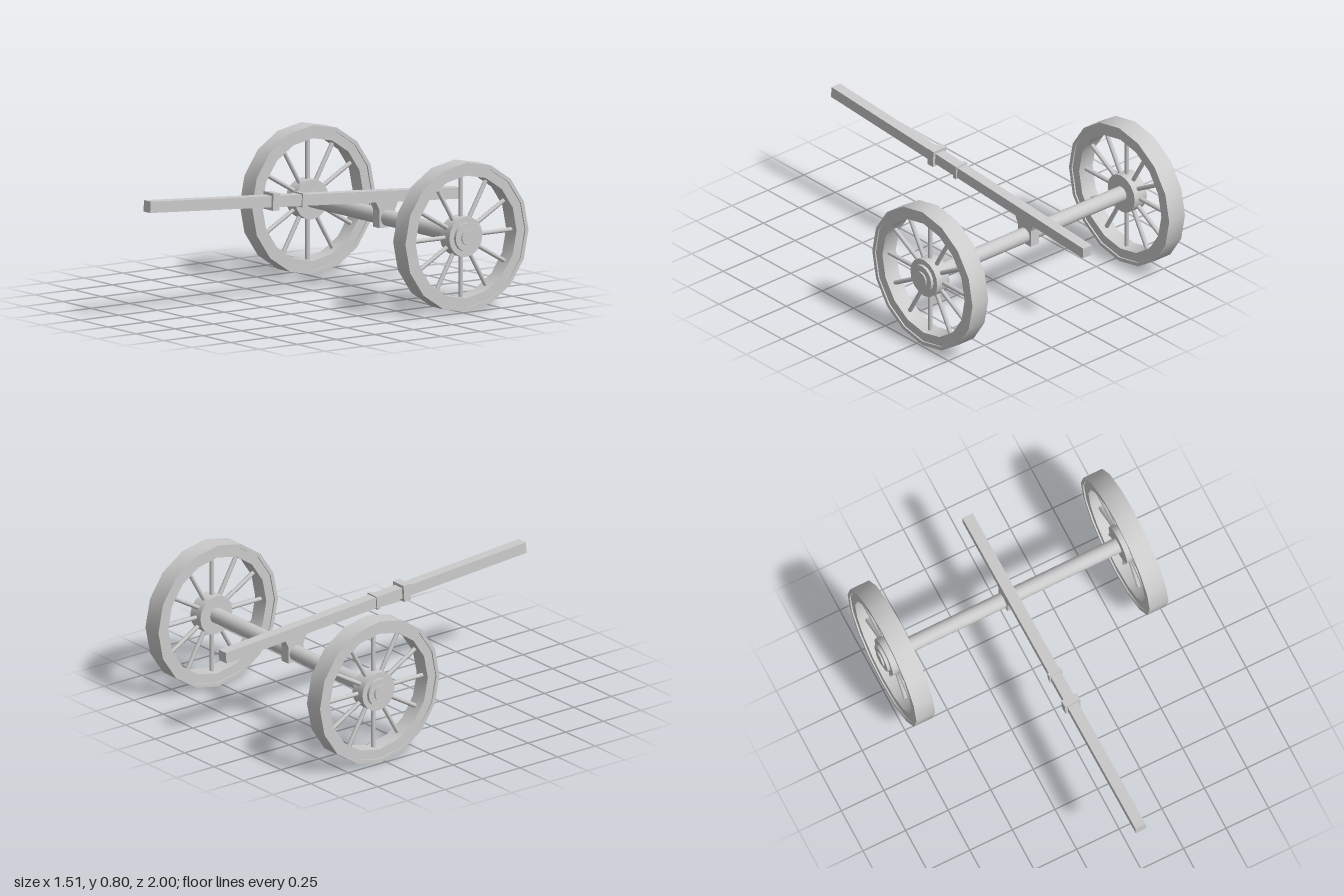
import * as THREE from 'three';
import { toCreasedNormals } from 'three/addons/utils/BufferGeometryUtils.js';

const material = new THREE.MeshStandardMaterial({ color: 0xcccccc });
const WHEEL_R = 0.3975, AXLE_Z = -0.533, SPOKES = 12;

function part(name, geometry, parent) {
  const mesh = new THREE.Mesh(geometry, material);
  mesh.name = name;
  parent.add(mesh);
  return mesh;
}

// Turned part about the x axis; profile is [radius, x] pairs
function turned(profile, sides = 16) {
  const g = new THREE.LatheGeometry(profile.map(([r, x]) => new THREE.Vector2(r, x)), sides);
  return toCreasedNormals(g.rotateZ(-Math.PI / 2), 0.6);
}

// Wheel centred on its own hub, outer face towards +x
function createWheel() {
  const wheel = new THREE.Group();
  wheel.name = 'wheel';

  // Rim with a slightly proud tyre band
  part('rim', turned([
    [0.326, -0.047], [0.377, -0.047], [0.377, -0.055], [WHEEL_R, -0.055],
    [WHEEL_R, 0.055], [0.377, 0.055], [0.377, 0.047], [0.326, 0.047], [0.326, -0.047],
  ]), wheel);

  // Stepped hub
  part('hub', turned([
    [0, -0.04], [0.107, -0.04], [0.107, 0.045], [0.077, 0.045], [0.077, 0.061], [0, 0.061],
  ]), wheel);

  for (let i = 0; i < SPOKES; i++) {
    const g = new THREE.CylinderGeometry(0.012, 0.012, 0.25, 8);
    g.translate(0, 0.215, 0).rotateX((i / SPOKES) * Math.PI * 2);
    part('spoke', g, wheel);
  }
  return wheel;
}

export function createModel() {
  const model = new THREE.Group();
  model.name = 'wheeledLimber';

  // Axle and wheels
  const axle = new THREE.CylinderGeometry(0.042, 0.042, 1.51, 16).rotateZ(Math.PI / 2);
  part('axle', axle, model).position.set(0, WHEEL_R, AXLE_Z);
  for (const side of [1, -1]) {
    const wheel = createWheel();
    wheel.name = side > 0 ? 'leftWheel' : 'rightWheel';
    wheel.position.set(side * 0.685, WHEEL_R, AXLE_Z);
    if (side < 0) wheel.rotation.y = Math.PI;
    model.add(wheel);
  }

  // Sloping draught pole with its two collars
  const pole = new THREE.Group();
  pole.name = 'poleAssembly';
  pole.position.y = 0.547;
  pole.rotation.x = -0.0665;
  model.add(pole);
  part('pole', new THREE.BoxGeometry(0.06, 0.06, 2), pole);
  part('largeCollar', new THREE.BoxGeometry(0.09, 0.092, 0.043), pole).position.z = 0.195;
  part('smallCollar', new THREE.BoxGeometry(0.076, 0.074, 0.022), pole).position.z = 0.01;

  // Saddle block joining pole and axle, wider at the top
  const saddle = new THREE.Shape([
    [-0.05, 0.347], [0.05, 0.347], [0.05, 0.44], [0.08, 0.5], [-0.08, 0.5], [-0.05, 0.44],
  ].map(([z, y]) => new THREE.Vector2(z, y)));
  const g = new THREE.ExtrudeGeometry(saddle, { depth: 0.058, bevelEnabled: false });
  g.translate(0, 0, -0.029).rotateY(-Math.PI / 2);
  part('saddle', g, model).position.z = AXLE_Z;

  return model;
}
